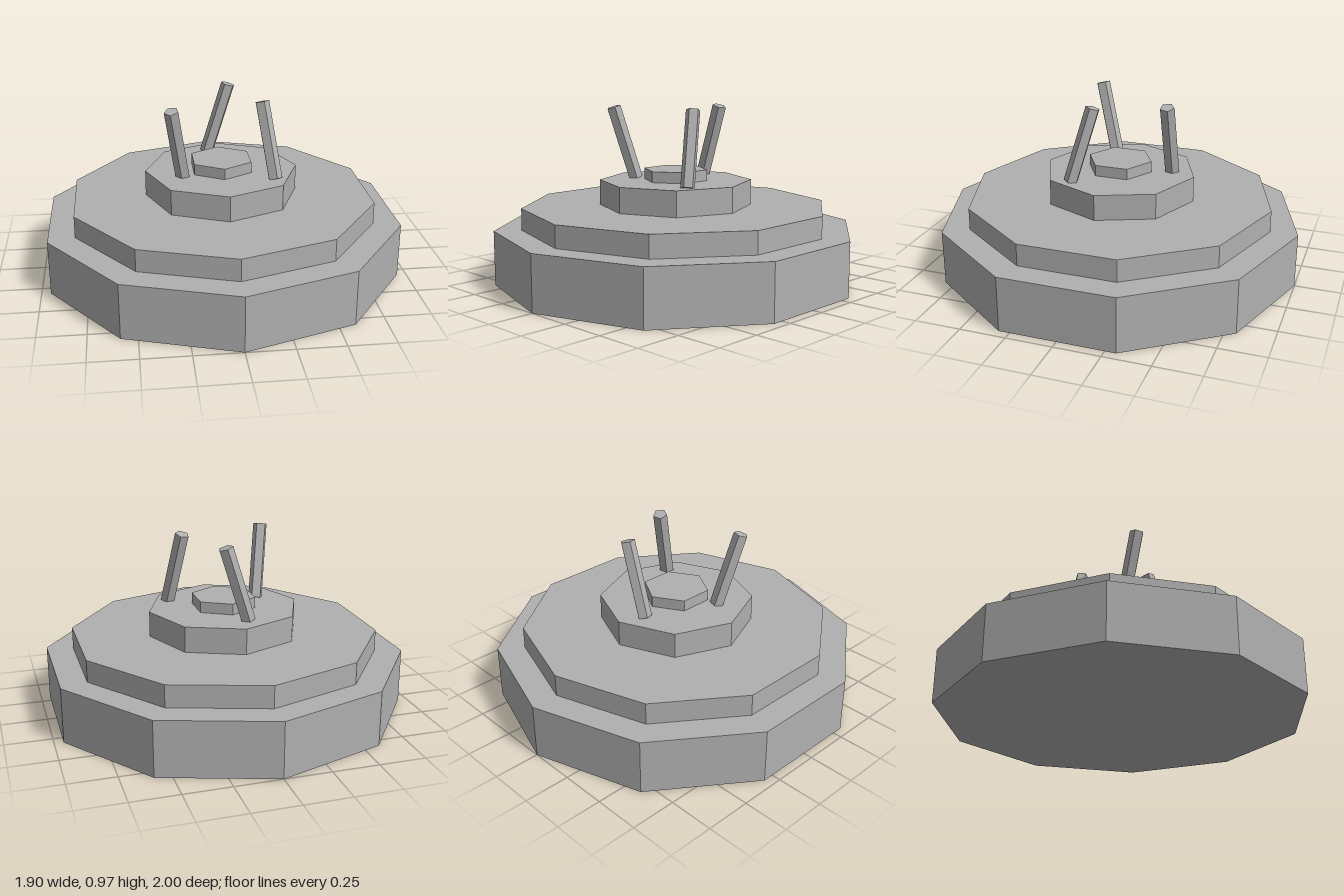
import * as THREE from 'three';

export function createModel() {
  const model = new THREE.Group();
  model.name = 'steppedPlatform';
  const grey = new THREE.MeshStandardMaterial({ color: 0xb0b0b0, flatShading: true });
  grey.name = 'stone grey';

  const prism = (name, radius, height, sides, y) => {
    const mesh = new THREE.Mesh(new THREE.CylinderGeometry(radius, radius, height, sides), grey);
    mesh.name = name;
    mesh.position.y = y;
    model.add(mesh);
    return mesh;
  };

  // Stacked tiers: name, radius, bottom, top, sides
  const tiers = [
    ['base', 1, 0, 0.3, 10],
    ['step', 0.85, 0.3, 0.42, 10],
    ['plinth', 0.42, 0.42, 0.56, 8],
    ['cap', 0.18, 0.56, 0.62, 6],
  ];
  for (const [name, radius, bottom, top, sides] of tiers) {
    prism(name, radius, top - bottom, sides, (bottom + top) / 2);
  }

  // Three leaning rods spaced evenly around the cap
  const lean = 0.3, ring = 0.283, shift = 0.01;
  for (let i = 0; i < 3; i++) {
    const angle = Math.PI / 6 + (i * Math.PI * 2) / 3;
    const turn = angle - Math.PI / 2;
    const rod = prism('rod' + (i + 1), 0.04, 0.42, 5, 0.759);
    rod.rotation.set(0, turn, lean);
    rod.position.x = Math.cos(angle) * ring - Math.cos(turn) * shift;
    rod.position.z = Math.sin(angle) * ring + Math.sin(turn) * shift;
  }
  return model;
}
